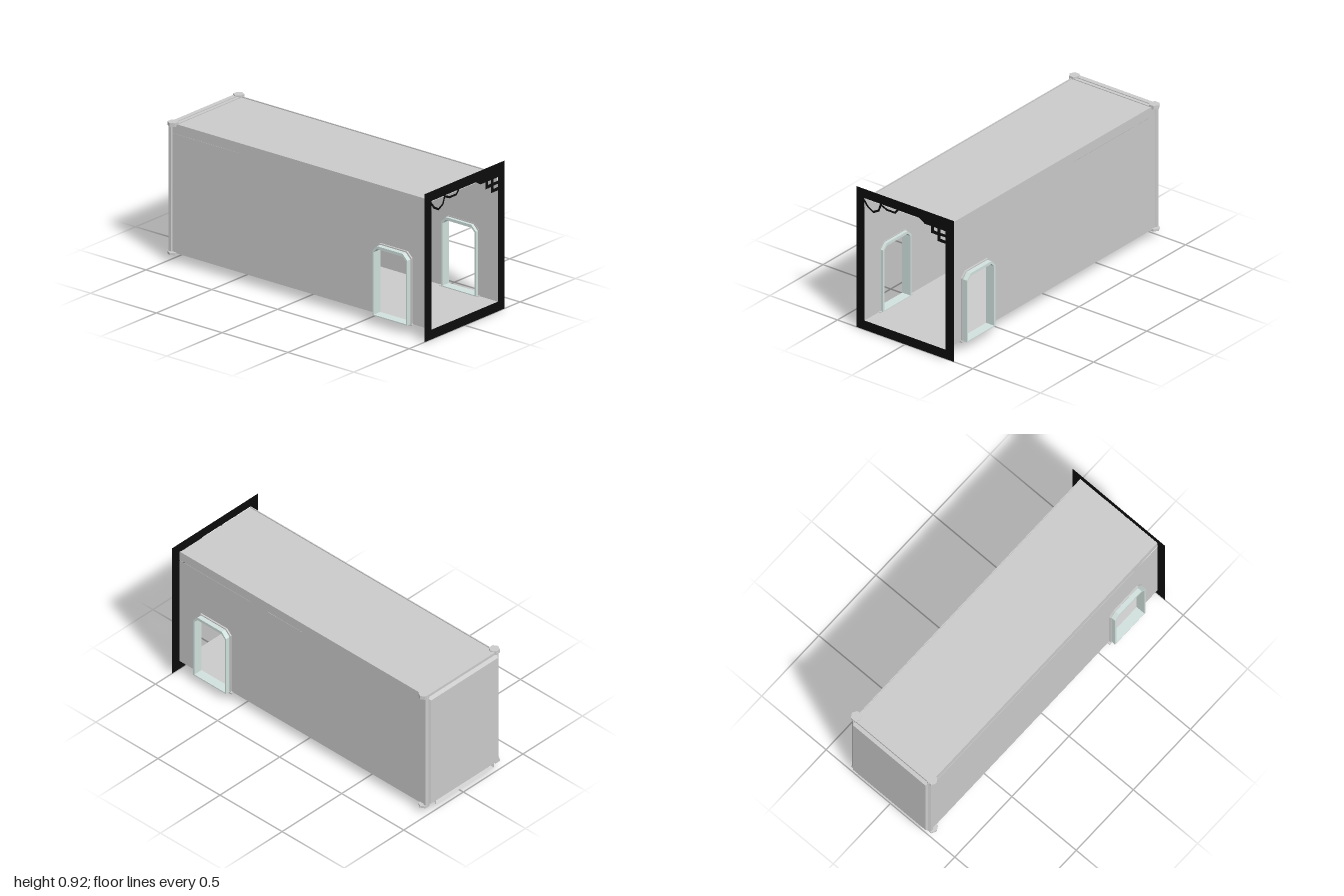
import * as THREE from 'three';

export function createModel() {
  const root = new THREE.Group();
  const grey = new THREE.MeshStandardMaterial({ color: 0xcccccc, flatShading: true, side: THREE.DoubleSide });
  const black = new THREE.MeshStandardMaterial({ color: 0x0c0c0c, side: THREE.DoubleSide });
  const pale = new THREE.MeshStandardMaterial({ color: 0xd2e2de, flatShading: true, side: THREE.DoubleSide });

  const add = (name, geo, mat = grey, x = 0, y = 0, z = 0) => {
    const m = new THREE.Mesh(geo, mat);
    m.name = name;
    m.position.set(x, y, z);
    root.add(m);
    return m;
  };
  const poly = (pts) => pts.map(([x, y]) => new THREE.Vector2(x, y));
  const rect = (x0, y0, x1, y1) => poly([[x0, y0], [x1, y0], [x1, y1], [x0, y1]]);
  // upright outline with chamfered top corners
  const arch = (x0, x1, y0, y1, c) =>
    poly([[x0, y0], [x1, y0], [x1, y1 - c], [x1 - c, y1], [x0 + c, y1], [x0, y1 - c]]);
  const shape = (pts, ...holes) => {
    const s = new THREE.Shape(pts);
    holes.forEach((h) => s.holes.push(new THREE.Path(h)));
    return s;
  };
  const box = (name, x0, x1, y0, y1, z0, z1) =>
    add(name, new THREE.BoxGeometry(x1 - x0, y1 - y0, z1 - z0), grey, (x0 + x1) / 2, (y0 + y1) / 2, (z0 + z1) / 2);
  // plate whose front edges slope inwards by b
  const plate = (name, s, z, depth, b) =>
    add(name, new THREE.ExtrudeGeometry(s, {
      depth: 0.002, bevelEnabled: true, bevelSegments: 1,
      bevelSize: b, bevelOffset: -b, bevelThickness: depth,
    }), grey, 0, 0, z);
  const sheet = (name, w, l, y, z) =>
    add(name, new THREE.PlaneGeometry(w, l).rotateX(-Math.PI / 2), grey, 0, y, z);

  // corridor shell, open at the front
  sheet('floor', 0.6, 1.98, 0.06, 0.01);
  sheet('roof', 0.59, 1.98, 0.856, 0.01);
  box('backWall', -0.3, 0.3, 0.06, 0.858, -0.99, -0.982);
  plate('backOuterPanel', shape(arch(-0.22, 0.22, 0.06, 0.8, 0.05)), -0.99, 0.008, 0.006)
    .scale.z = -1;

  for (const s of [-1, 1]) {
    const side = s > 0 ? 'left' : 'right';
    // side wall with doorway
    const wall = shape(rect(-0.985, 0.06, 1, 0.8), arch(0.59, 0.845, 0.062, 0.49, 0.03));
    add(side + 'Wall', new THREE.ShapeGeometry(wall).rotateY(-Math.PI / 2), grey, s * 0.3, 0, 0);
    box(side + 'WallTop', s > 0 ? 0.292 : -0.298, s > 0 ? 0.298 : -0.292, 0.8, 0.862, -0.985, 0.999);

    // doorway liner, flange and sill
    const ring = (outer, inner, depth) => new THREE.ExtrudeGeometry(shape(outer, inner),
      { depth, bevelEnabled: false }).translate(0, 0, -depth / 2).rotateY(-Math.PI / 2);
    add(side + 'DoorLiner', ring(arch(0.585, 0.85, 0.06, 0.498, 0.035),
      arch(0.595, 0.84, 0.066, 0.48, 0.025), 0.06), pale, s * 0.31, 0, 0);
    add(side + 'DoorFlange', ring(arch(0.578, 0.857, 0.06, 0.505, 0.035),
      arch(0.588, 0.847, 0.063, 0.495, 0.035), 0.012), grey, s * 0.304, 0, 0);
    const sill = box(side + 'DoorSill', -0.015, 0.015, 0.053, 0.063, 0.565, 0.865);
    sill.position.x = s * 0.3;

    // rear corner post with six-sided fittings
    add(side + 'RearPost', new THREE.CylinderGeometry(0.018, 0.018, 0.8, 6), grey, s * 0.291, 0.46, -0.981);
    for (const y of [0.058, 0.86])
      add(side + 'CornerFitting', new THREE.CylinderGeometry(0.033, 0.033, y > 0.5 ? 0.024 : 0.014, 6)
        .rotateY(Math.PI / 6), grey, s * 0.296, y, -0.966);
  }

  // rail across the rear of the roof
  box('rearRoofRail', -0.295, 0.295, 0.85, 0.866, -0.99, -0.96);
  box('rearRoofLip', -0.295, 0.295, 0.85, 0.861, -0.96, -0.94);

  // inner bulkhead: bevelled surround, door leaf and stepped panels
  plate('bulkheadSurround', shape(poly([[-0.3, 0.06], [0.3, 0.06], [0.3, 0.855], [-0.3, 0.855]]),
    arch(-0.225, 0.225, 0.07, 0.795, 0.055)), -0.98, 0.03, 0.02);
  plate('doorLeaf', shape(arch(-0.225, 0.225, 0.06, 0.78, 0.05)), -0.98, 0.025, 0.022);
  const tee = (w, n, top, mid, low, c) => shape(poly([
    [-n, low], [n, low], [n, mid], [w, mid], [w, top - c], [w - c, top],
    [-w + c, top], [-w, top - c], [-w, mid], [-n, mid]]));
  plate('doorPanelBase', tee(0.2, 0.085, 0.757, 0.4, 0.23, 0.04), -0.955, 0.006, 0.012);
  plate('doorPanel', tee(0.183, 0.077, 0.74, 0.412, 0.26, 0.035), -0.948, 0.015, 0.014);

  // flat black front border
  add('frontBorder', new THREE.ShapeGeometry(shape(rect(-0.36, 0, 0.36, 0.92),
    rect(-0.3, 0.06, 0.3, 0.86))), black, 0, 0, 1);

  // loose cable hanging in the upper right corner of the border
  const line = [[-0.305, 0.85], [-0.275, 0.812], [-0.235, 0.79], [-0.195, 0.812],
    [-0.18, 0.855], [-0.135, 0.836], [-0.075, 0.836], [-0.05, 0.865]];
  const t = 0.0065;
  for (let i = 1; i < line.length; i++) {
    const [ax, ay] = line[i - 1], [bx, by] = line[i];
    const seg = add('hangingCable', new THREE.PlaneGeometry(Math.hypot(bx - ax, by - ay) + t, 2 * t),
      black, (ax + bx) / 2, (ay + by) / 2, 1);
    seg.rotation.z = Math.atan2(by - ay, bx - ax);
  }
  // stepped lattice in the upper left corner of the border
  add('cornerLattice', new THREE.ShapeGeometry(shape(
    poly([[0.1, 0.861], [0.145, 0.834], [0.19, 0.834], [0.19, 0.79], [0.238, 0.79],
      [0.238, 0.752], [0.301, 0.752], [0.301, 0.861]]),
    rect(0.213, 0.812, 0.238, 0.834), rect(0.262, 0.812, 0.3, 0.834),
    rect(0.262, 0.773, 0.3, 0.793))), black, 0, 0, 1);

  return root;
}
